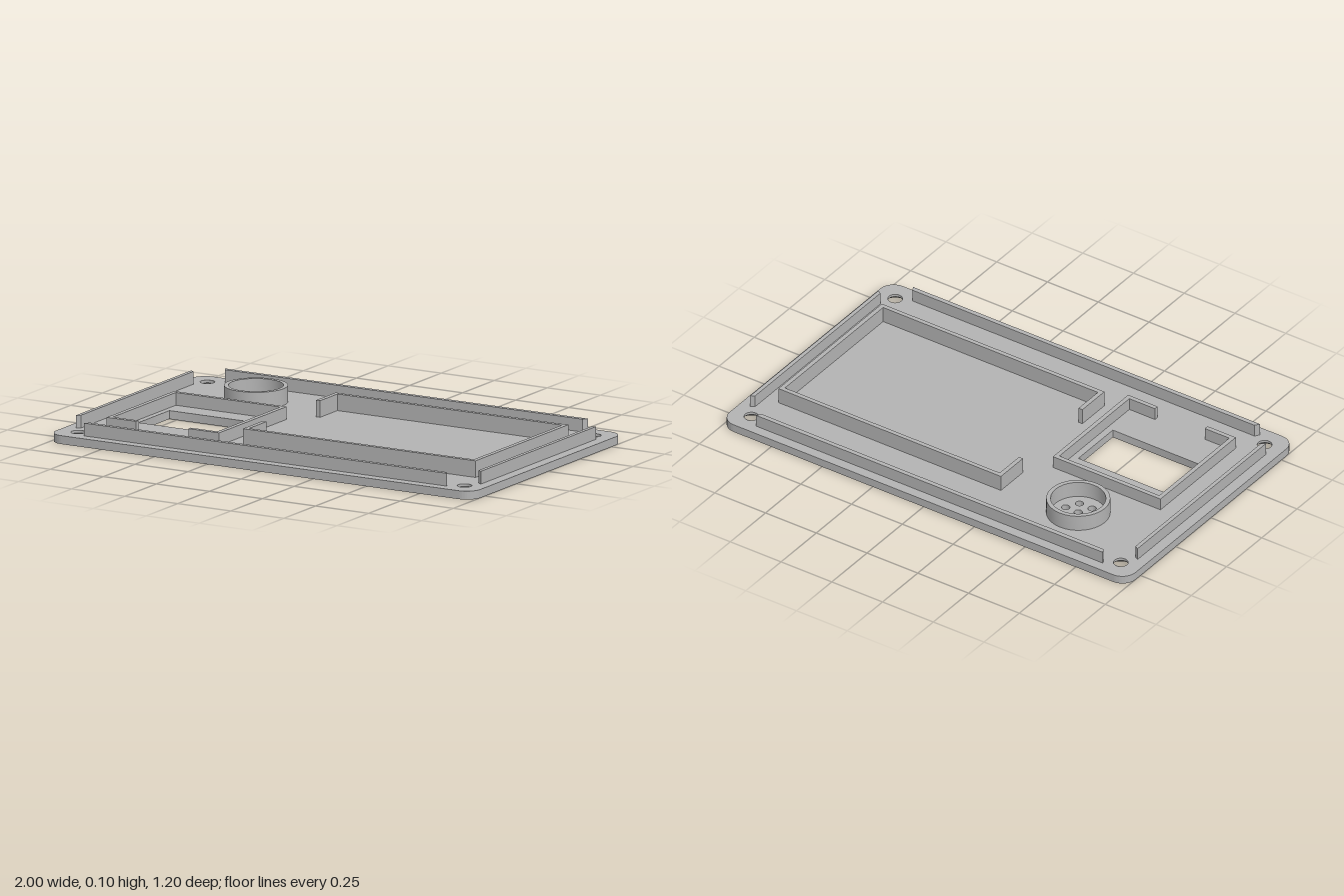
import * as THREE from 'three';
import { toCreasedNormals } from 'three/addons/utils/BufferGeometryUtils.js';

const PLATE = 0.035, ENGRAVE = 0.008, SINK = 0.024;

// Rounded rectangle outline in the x/z plane
function roundRect(x0, z0, x1, z1, r, Type = THREE.Path) {
  const p = new Type();
  p.moveTo(x0 + r, z0);
  p.lineTo(x1 - r, z0);
  p.absarc(x1 - r, z0 + r, r, -Math.PI / 2, 0, false);
  p.lineTo(x1, z1 - r);
  p.absarc(x1 - r, z1 - r, r, 0, Math.PI / 2, false);
  p.lineTo(x0 + r, z1);
  p.absarc(x0 + r, z1 - r, r, Math.PI / 2, Math.PI, false);
  p.lineTo(x0, z0 + r);
  p.absarc(x0 + r, z0 + r, r, Math.PI, Math.PI * 1.5, false);
  return p;
}

function circle(x, z, r, Type = THREE.Path) {
  const p = new Type();
  p.absarc(x, z, r, 0, Math.PI * 2, false);
  return p;
}

const polygon = (pts) => new THREE.Shape(pts.map(([x, z]) => new THREE.Vector2(x, z)));

// Curved slot with round ends
function arcSlot(cx, r, w, a) {
  const h = w / 2, ex = cx + r * Math.cos(a), ez = r * Math.sin(a);
  const p = new THREE.Path();
  p.absarc(cx, 0, r + h, -a, a, false);
  p.absarc(ex, ez, h, a, a + Math.PI, false);
  p.absarc(cx, 0, r - h, a, -a, true);
  p.absarc(ex, -ez, h, Math.PI - a, Math.PI * 2 - a, false);
  return p;
}

export function createModel() {
  const model = new THREE.Group();
  const grey = new THREE.MeshStandardMaterial({ color: 0xb3b3b3, side: THREE.DoubleSide });
  grey.name = 'plainGrey';

  const add = (name, geometry) => {
    const mesh = new THREE.Mesh(geometry, grey);
    mesh.name = name;
    model.add(mesh);
    return mesh;
  };
  // Stand an x/z outline up between two heights
  const slab = (name, shape, y0, y1) => {
    const g = new THREE.ExtrudeGeometry(shape, { depth: y1 - y0, bevelEnabled: false, curveSegments: 16 });
    g.rotateX(Math.PI / 2).translate(0, y1, 0);
    return add(name, toCreasedNormals(g, 0.5));
  };

  const corners = [[-1, -1], [1, -1], [1, 1], [-1, 1]].map(([x, z]) => [x * 0.91, z * 0.51]);
  const sx = -0.565, sz = -0.315;

  // Plate outline with window, speaker holes and screw holes
  const plate = (screwRadius) => {
    const s = roundRect(-1, -0.6, 1, 0.6, 0.065, THREE.Shape);
    s.holes.push(roundRect(-0.785, 0, -0.347, 0.244, 0.001));
    s.holes.push(circle(sx, sz, 0.017));
    for (let i = 0; i < 6; i++) {
      const a = i * Math.PI / 3;
      s.holes.push(circle(sx + 0.062 * Math.cos(a), sz + 0.062 * Math.sin(a), 0.017));
    }
    for (const [x, z] of corners) s.holes.push(circle(x, z, screwRadius));
    return s;
  };
  const [cx0, cx1, cz] = [-0.075, 0.307, 0.252];
  const face = plate(0.058);
  face.holes.push(roundRect(cx0, -cz, cx1, cz, 0.045));
  for (const r of [0.1, 0.2, 0.3]) face.holes.push(arcSlot(0.42, r, 0.02, 0.68));
  slab('engravedFace', face, 0, ENGRAVE);
  slab('plateMiddle', plate(0.058), ENGRAVE, SINK);
  slab('plateTop', plate(0.03), SINK, PLATE);

  // Raised islands left inside the engraved card outline
  const g = 0.016, r = 0.03, a0 = cx0 + g, a1 = cx1 - g, b = cz - g;
  const island = new THREE.Shape();
  island.moveTo(a0 + r, -b);
  island.lineTo(a1 - r, -b);
  island.absarc(a1 - r, -b + r, r, -Math.PI / 2, 0, false);
  for (const [x, z] of [[a1, 0.065], [0.195, 0.065], [0.195, 0.17], [a1, 0.17]]) island.lineTo(x, z);
  island.absarc(a1 - r, b - r, r, 0, Math.PI / 2, false);
  island.absarc(a0 + r, b - r, r, Math.PI / 2, Math.PI, false);
  island.absarc(a0 + r, -b + r, r, Math.PI, Math.PI * 1.5, false);
  slab('cardIsland', island, 0, ENGRAVE);
  slab('chipIsland', roundRect(0.195 + g, 0.065 + g, a1, 0.17 - g, 0.004, THREE.Shape), 0, ENGRAVE);

  // Countersinks on the underside
  for (const [x, z] of corners) {
    const cone = new THREE.LatheGeometry([new THREE.Vector2(0.03, SINK), new THREE.Vector2(0.058, 0)], 32);
    add('countersink', cone).position.set(x, 0, z);
  }

  // Perimeter lips with slanted ends
  for (const s of [-1, 1]) {
    slab('longLip', polygon([[-0.855, s * 0.556], [0.855, s * 0.556], [0.842, s * 0.536], [-0.842, s * 0.536]]), PLATE, 0.088);
    slab('shortLip', polygon([[s * 0.954, -0.455], [s * 0.954, 0.455], [s * 0.937, 0.445], [s * 0.937, -0.445]]), PLATE, 0.088);
  }

  // Large tray wall, open on the right-hand side
  const t = 0.019;
  slab('trayWall', polygon([
    [-0.22, -0.211], [-0.22, -0.367], [0.876, -0.367], [0.876, 0.367], [-0.22, 0.367], [-0.22, 0.211],
    [-0.22 + t, 0.211], [-0.22 + t, 0.367 - t], [0.876 - t, 0.367 - t],
    [0.876 - t, -0.367 + t], [-0.22 + t, -0.367 + t], [-0.22 + t, -0.211],
  ]), PLATE, 0.104);

  // Wall around the window, open at the front
  slab('windowWall', polygon([
    [-0.69, 0.422], [-0.829, 0.422], [-0.829, -0.112], [-0.299, -0.112], [-0.299, 0.422], [-0.444, 0.422],
    [-0.444, 0.422 - t], [-0.299 - t, 0.422 - t], [-0.299 - t, -0.112 + t],
    [-0.829 + t, -0.112 + t], [-0.829 + t, 0.422 - t], [-0.69, 0.422 - t],
  ]), PLATE, 0.088);

  // Speaker ring
  const ring = circle(sx, sz, 0.13, THREE.Shape);
  ring.holes.push(circle(sx, sz, 0.112));
  slab('speakerRing', ring, PLATE, 0.104);

  return model;
}
